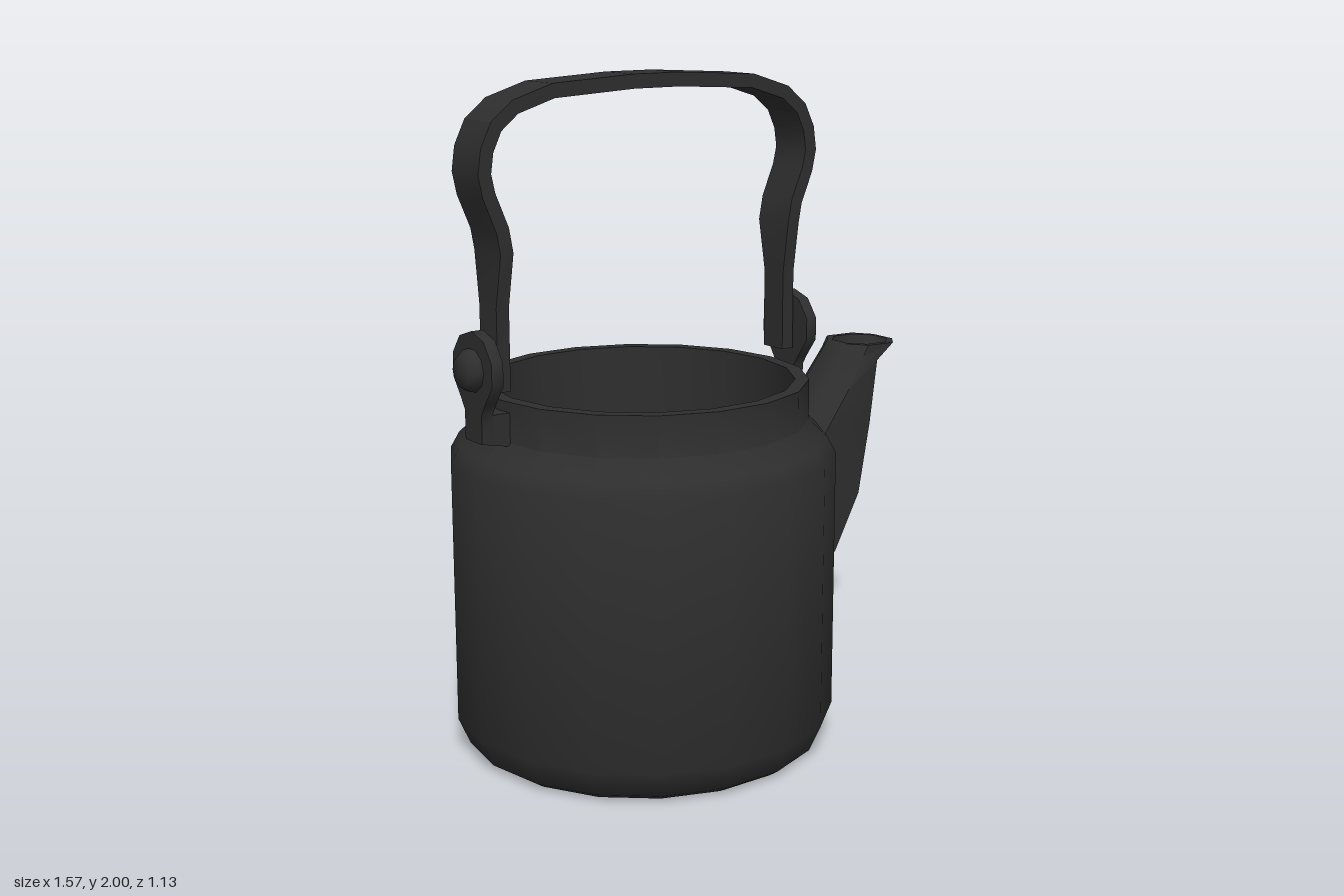
import * as THREE from 'three';
import { toCreasedNormals } from 'three/addons/utils/BufferGeometryUtils.js';

const iron = new THREE.MeshStandardMaterial({ color: 0x2e2e2e });
const CENTRE_X = -0.167;

function part(name, geometry, crease = 0.7) {
  const mesh = new THREE.Mesh(toCreasedNormals(geometry, crease), iron);
  mesh.name = name;
  return mesh;
}

const profile = (points) => points.map(([r, y]) => new THREE.Vector2(r, y));

// Skin a row of equal-sized closed loops and cap both ends.
// Loops run counter-clockwise about the direction of travel.
function loft(loops) {
  const n = loops[0].length;
  const index = [];
  for (let s = 0; s < loops.length - 1; s++) {
    for (let i = 0; i < n; i++) {
      const j = (i + 1) % n;
      const a = s * n + i, b = s * n + j;
      index.push(a, b, b + n, a, b + n, a + n);
    }
  }
  const last = (loops.length - 1) * n;
  for (let i = 1; i < n - 1; i++) {
    index.push(0, i + 1, i, last, last + i, last + i + 1);
  }
  const geometry = new THREE.BufferGeometry();
  geometry.setAttribute('position', new THREE.Float32BufferAttribute(loops.flat(2), 3));
  geometry.setIndex(index);
  return geometry;
}

// Open pot with a straight bore, 18 sides
function makeBody() {
  const points = profile([
    [0, 0], [0.51, 0], [0.54, 0.02], [0.575, 0.1],
    [0.575, 0.89], [0.55, 0.935], [0.493, 0.99], [0.493, 1.11],
    [0.452, 1.11], [0.452, 0.04], [0, 0.04],
  ]);
  const body = part('body', new THREE.LatheGeometry(points, 18, Math.PI / 2), 0.85);
  body.position.x = -0.17;
  return body;
}

// Spout of long chamfered sections:
// upper point, lower point, half width at the upper and lower end
function makeSpout() {
  const sections = [
    [0.36, 0.82, 0.36, 0.27, 0.12, 0.1],
    [0.4, 0.87, 0.52, 0.43, 0.12, 0.105],
    [0.46, 0.95, 0.61, 0.61, 0.115, 0.115],
    [0.52, 1.03, 0.66, 0.84, 0.11, 0.115],
    [0.57, 1.1, 0.715, 1.06, 0.1, 0.102],
    [0.59, 1.125, 0.785, 1.12, 0.1, 0.1],
    // mouth recess
    [0.603, 1.125, 0.77, 1.12, 0.08, 0.08],
    [0.56, 0.97, 0.63, 0.92, 0.055, 0.055],
  ];
  const loops = sections.map(([ax, ay, bx, by, wa, wb]) => {
    const f = Math.min(0.045 / Math.hypot(bx - ax, by - ay), 0.3);
    const corners = [
      [1, -0.45 * wb], [1 - f, -wb], [f, -wa], [0, -0.45 * wa],
      [0, 0.45 * wa], [f, wa], [1 - f, wb], [1, 0.45 * wb],
    ];
    return corners.map(([t, z]) => [ax + (bx - ax) * t, ay + (by - ay) * t, z]);
  });
  return part('spout', loft(loops), 0.9);
}

// Flat band bent over the pot; outer edge of one half: x, y, half width
function makeHandle() {
  const half = [
    [0.53, 1.14, 0.045], [0.53, 1.38, 0.045], [0.527, 1.53, 0.07],
    [0.538, 1.59, 0.07], [0.578, 1.685, 0.07], [0.592, 1.75, 0.07],
    [0.582, 1.82, 0.07], [0.548, 1.89, 0.07], [0.48, 1.945, 0.07],
    [0.35, 1.985, 0.07], [0.08, 2, 0.07],
  ];
  const path = [
    ...half.map(([x, y, w]) => [-x, y, w]),
    ...half.slice().reverse(),
  ];
  const thickness = 0.041;
  const loops = path.map(([x, y, w], i) => {
    const p = path[Math.max(i - 1, 0)];
    const q = path[Math.min(i + 1, path.length - 1)];
    const t = new THREE.Vector2(q[0] - p[0], q[1] - p[1]).normalize();
    const ix = x + t.y * thickness;
    const iy = y - t.x * thickness;
    return [[x, y, -w], [x, y, w], [ix, iy, w], [ix, iy, -w]];
  });
  const handle = part('handle', loft(loops), 0.4);
  handle.position.x = -0.161;
  return handle;
}

// Lug on the +x side: round-headed plate, foot and rivet
function makeLug() {
  const lug = new THREE.Group();
  const outline = [];
  for (let i = 0; i < 9; i++) {
    const a = THREE.MathUtils.degToRad(-54 + 36 * i);
    outline.push(new THREE.Vector2(0.11 * Math.cos(a), 0.11 * Math.sin(a)));
  }
  outline.push(new THREE.Vector2(-0.045, -0.12), new THREE.Vector2(-0.045, -0.205),
    new THREE.Vector2(0.045, -0.205), new THREE.Vector2(0.045, -0.12));
  const plateShape = new THREE.ExtrudeGeometry(new THREE.Shape(outline),
    { depth: 0.037, bevelEnabled: false });
  plateShape.rotateY(Math.PI / 2);
  const plate = part('lugPlate', plateShape);
  plate.position.set(0.542, 1.205, 0);

  // foot with its underside sloping down to the shoulder
  const footShape = new THREE.Shape(profile([
    [0.48, 0.98], [0.575, 1.0], [0.575, 1.08], [0.48, 1.08],
  ]));
  const foot = part('lugFoot', new THREE.ExtrudeGeometry(footShape,
    { depth: 0.09, bevelEnabled: false }));
  foot.position.z = -0.045;

  const dome = new THREE.LatheGeometry(profile([
    [0.063, 0], [0.059, 0.022], [0.045, 0.04], [0, 0.045],
  ]), 10);
  dome.rotateZ(-Math.PI / 2);
  const rivet = part('rivet', dome, 0.9);
  rivet.position.set(0.575, 1.205, 0);

  lug.add(plate, foot, rivet);
  return lug;
}

export function createModel() {
  const kettle = new THREE.Group();
  kettle.name = 'kettle';
  kettle.add(makeBody(), makeSpout(), makeHandle());
  ['leftLug', 'rightLug'].forEach((name, i) => {
    const lug = makeLug();
    lug.name = name;
    lug.position.x = CENTRE_X;
    lug.rotation.y = i * Math.PI;
    kettle.add(lug);
  });
  return kettle;
}
